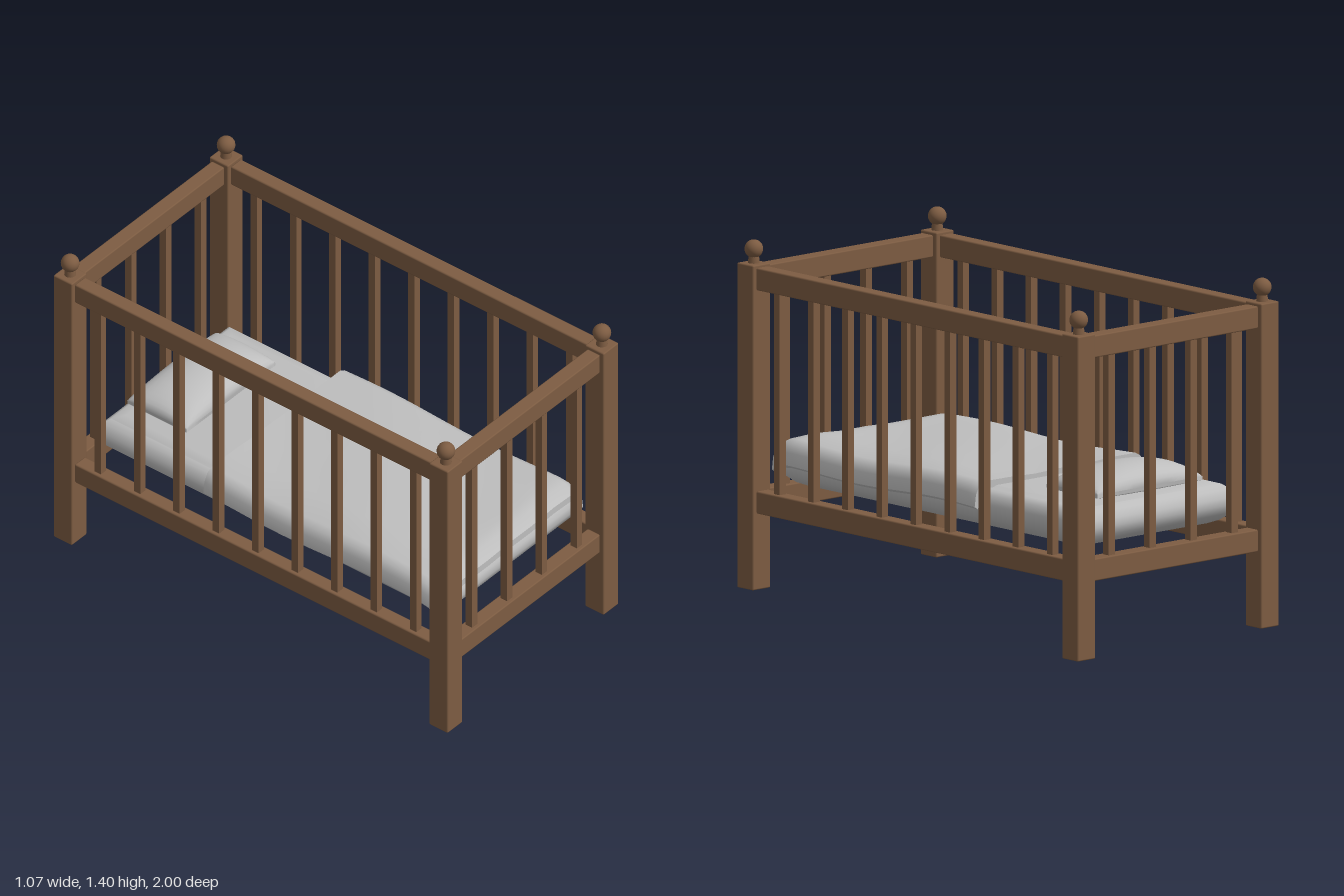
import * as THREE from 'three';
import { toCreasedNormals } from 'three/addons/utils/BufferGeometryUtils.js';
import { RoundedBoxGeometry } from 'three/addons/geometries/RoundedBoxGeometry.js';

const wood = new THREE.MeshStandardMaterial({ color: 0x7d5c42 });
wood.name = 'brownWood';
const fabric = new THREE.MeshStandardMaterial({ color: 0xbebebe });
fabric.name = 'greyFabric';

const POST_X = 0.487, POST_Z = 0.953;

function add(parent, name, geometry, material, x = 0, y = 0, z = 0) {
  const mesh = new THREE.Mesh(geometry, material);
  mesh.name = name;
  mesh.position.set(x, y, z);
  parent.add(mesh);
  return mesh;
}

const beam = (w, h, d) => new RoundedBoxGeometry(w, h, d, 1, 0.006);

// Skins equal-length rings (counter-clockwise seen from the last ring) and caps both ends
function loft(rings, crease) {
  const n = rings[0].length, index = [];
  const last = (rings.length - 1) * n;
  const quad = (a, b, c, d) => index.push(a, b, c, a, c, d);
  for (let r = 0; r < rings.length - 1; r++) {
    for (let i = 0; i < n; i++) {
      const j = (i + 1) % n;
      quad(r * n + i, r * n + j, (r + 1) * n + j, (r + 1) * n + i);
    }
  }
  for (let i = 0; i < n / 2 - 1; i++) {
    quad(last + i, last + i + 1, last + n - 2 - i, last + n - 1 - i);
    quad(n - 1 - i, n - 2 - i, i + 1, i);
  }
  const g = new THREE.BufferGeometry();
  g.setAttribute('position', new THREE.Float32BufferAttribute(rings.flat(2), 3));
  g.setIndex(index);
  return toCreasedNormals(g, crease);
}

// Mattress: rectangles stacked in y, drawn in towards top and bottom
function mattressGeometry() {
  const levels = [[0.41, 0.085], [0.425, 0.05], [0.455, 0.015], [0.49, 0], [0.52, 0.003],
    [0.55, 0.02], [0.57, 0.045], [0.58, 0.085]];
  return loft(levels.map(([y, inset]) => {
    const x = 0.417 - inset, z = 0.885 - inset;
    return [[x, y, z], [x, y, -z], [-x, y, -z], [-x, y, z]];
  }), 0.8);
}

// Blanket: a draped strip swept along z with soft ripples
function blanketGeometry() {
  const half = [[0.453, 0.505], [0.446, 0.555], [0.428, 0.588], [0.4, 0.602], [0.27, 0.608], [0.13, 0.606]];
  const outer = [...half, [0, 0.605], ...half.map(([x, y]) => [-x, y]).reverse()];
  const rings = [];
  const steps = 24;
  for (let s = 0; s <= steps; s++) {
    const z = -0.305 + (1.19 * s) / steps;
    const dip = 0.03 * Math.max(0, (z - 0.8) / 0.085) ** 2;
    const ripple = (x) => 0.006 * Math.sin(z * 7 + x * 5) + 0.003 * Math.sin(x * 17 - z * 5) - dip;
    const top = outer.map(([x, y]) => [x, y + ripple(x), z]);
    const under = outer.map(([x, y], i) => {
      const edge = i < 3 || i > outer.length - 4;
      return [edge ? x - Math.sign(x) * 0.018 : x, y + ripple(x) - (edge ? 0.012 : 0.03), z];
    }).reverse();
    rings.push([...top, ...under]);
  }
  return loft(rings, 0.8);
}

// Pillow: a box puffed up in the middle and pinched at its rim
function pillowGeometry() {
  const g = new THREE.BoxGeometry(2, 2, 2, 20, 1, 14);
  const p = g.attributes.position;
  for (let i = 0; i < p.count; i++) {
    const u = Math.sin((p.getX(i) * Math.PI) / 2), v = Math.sin((p.getZ(i) * Math.PI) / 2);
    const puff = Math.pow(Math.max(0, (1 - u * u) * (1 - v * v)), 0.42);
    const y = p.getY(i) > 0 ? 0.01 + 0.08 * puff : -0.004 - 0.016 * puff;
    p.setXYZ(i, u * 0.278, y, v * 0.15);
  }
  return toCreasedNormals(g, 0.9);
}

export function createModel() {
  const model = new THREE.Group();
  model.name = 'crib';

  // Corner posts with ball finials
  const postGeo = beam(0.095, 1.305, 0.095);
  const neckGeo = new THREE.CylinderGeometry(0.02, 0.024, 0.04, 16);
  const ballGeo = new THREE.SphereGeometry(0.037, 20, 14);
  for (const sx of [-1, 1]) {
    for (const sz of [-1, 1]) {
      const post = new THREE.Group();
      post.name = (sz > 0 ? 'front' : 'back') + (sx > 0 ? 'Left' : 'Right') + 'Post';
      post.position.set(sx * POST_X, 0, sz * POST_Z);
      add(post, 'postShaft', postGeo, wood, 0, 0.6525, 0);
      add(post, 'finialNeck', neckGeo, wood, 0, 1.32, 0);
      add(post, 'finialBall', ballGeo, wood, 0, 1.361, 0);
      model.add(post);
    }
  }

  // Four railings: top and bottom rails with slats between
  const endRail = beam(0.876, 0.09, 0.064);
  const sideRail = beam(0.064, 0.09, 1.81);
  const slat = new THREE.BoxGeometry(0.033, 0.82, 0.033);
  for (const s of [-1, 1]) {
    const end = new THREE.Group();
    end.name = s > 0 ? 'frontRailing' : 'backRailing';
    end.position.z = s * POST_Z;
    const side = new THREE.Group();
    side.name = s > 0 ? 'leftRailing' : 'rightRailing';
    side.position.x = s * POST_X;
    for (const [name, y] of [['topRail', 1.25], ['bottomRail', 0.353]]) {
      add(end, name, endRail, wood, 0, y, 0);
      add(side, name, sideRail, wood, 0, y, 0);
    }
    for (let i = 0; i < 4; i++) add(end, 'slat', slat, wood, -0.327 + i * 0.218, 0.802, 0);
    for (let i = 0; i < 9; i++) add(side, 'slat', slat, wood, 0, 0.802, -0.8 + i * 0.2);
    model.add(end, side);
  }

  // Bedding
  add(model, 'mattress', mattressGeometry(), fabric);
  add(model, 'blanket', blanketGeometry(), fabric);
  add(model, 'pillow', pillowGeometry(), fabric, -0.003, 0.6, -0.68);

  return model;
}
